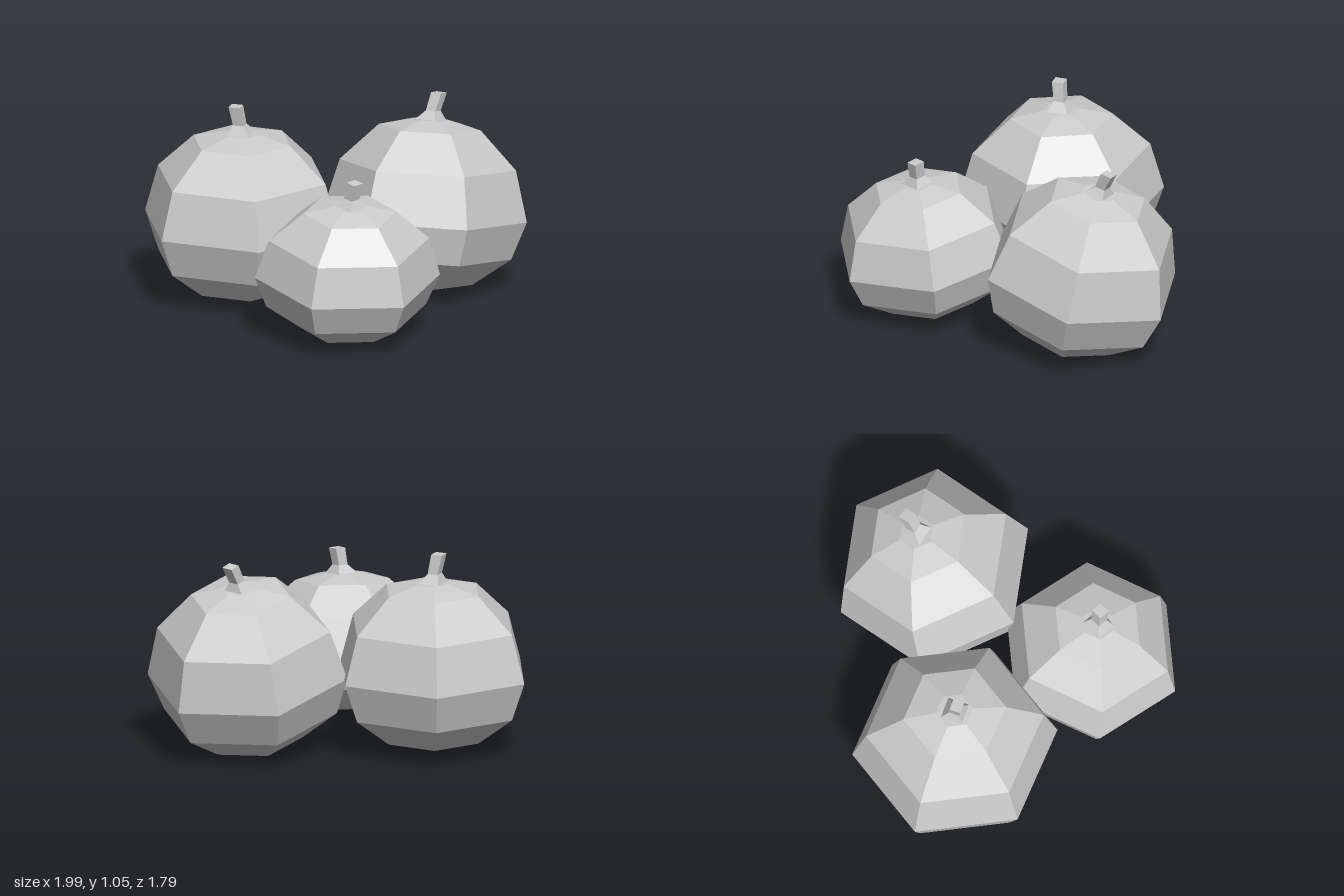
import * as THREE from 'three';

const material = new THREE.MeshStandardMaterial({ color: 0xcccccc, flatShading: true });
const rad = THREE.MathUtils.degToRad;

// Faceted solid of revolution, first corner at the given angle from +x towards +z
function facetedLathe(profile, sides, angle) {
  const points = profile.map(([r, y]) => new THREE.Vector2(r, y));
  return new THREE.LatheGeometry(points, sides, Math.PI / 2 - rad(angle));
}

// Six-sided body: a squashed sphere with separate heights above and below its middle
function makeBody({ radius, up, down, angle }) {
  const profile = [];
  for (let deg = -90; deg <= 60; deg += 30) {
    const s = Math.sin(rad(deg));
    profile.push([deg === -90 ? 0 : radius * Math.cos(rad(deg)), s * (s > 0 ? up : down)]);
  }
  profile.push([radius * 0.18, up * 0.945], [0, up * 0.95]);
  const mesh = new THREE.Mesh(facetedLathe(profile, 6, angle), material);
  mesh.name = 'body';
  return mesh;
}

// Four-sided stem, flared at the foot and bent towards its tip
function makeStem({ up, stemTop, stemAngle, bend }) {
  const foot = up * 0.93;
  const neck = foot + (stemTop - foot) * 0.36;
  const geometry = facetedLathe(
    [[0.088, foot], [0.04, neck], [0.043, stemTop], [0, stemTop]], 4, stemAngle);
  const pos = geometry.attributes.position;
  for (let i = 0; i < pos.count; i++) {
    const t = (pos.getY(i) - foot) / (stemTop - foot);
    pos.setX(i, pos.getX(i) + bend[0] * t);
    pos.setZ(i, pos.getZ(i) + bend[1] * t);
  }
  const mesh = new THREE.Mesh(geometry, material);
  mesh.name = 'stem';
  return mesh;
}

const pumpkins = [
  { name: 'rightPumpkin', at: [-0.48, 0.41, -0.195], tilt: [0, 0], radius: 0.54, up: 0.51, down: 0.41,
    angle: 15, stemTop: 0.635, stemAngle: 57, bend: [-0.03, 0.015] },
  { name: 'leftPumpkin', at: [0.457, 0.392, -0.43], tilt: [-0.19, -0.035], radius: 0.535, up: 0.54, down: 0.4,
    angle: 0, stemTop: 0.65, stemAngle: 70, bend: [0.035, -0.03] },
  { name: 'frontPumpkin', at: [0.138, 0.335, 0.437], tilt: [0.094, -0.045], radius: 0.487, up: 0.42, down: 0.33,
    angle: -13, stemTop: 0.53, stemAngle: 85, bend: [0.02, -0.005] },
];

export function createModel() {
  const model = new THREE.Group();
  model.name = 'pumpkins';
  for (const p of pumpkins) {
    const group = new THREE.Group();
    group.name = p.name;
    group.add(makeBody(p), makeStem(p));
    group.position.set(...p.at);
    group.rotation.set(p.tilt[0], 0, p.tilt[1]);
    model.add(group);
  }
  return model;
}
